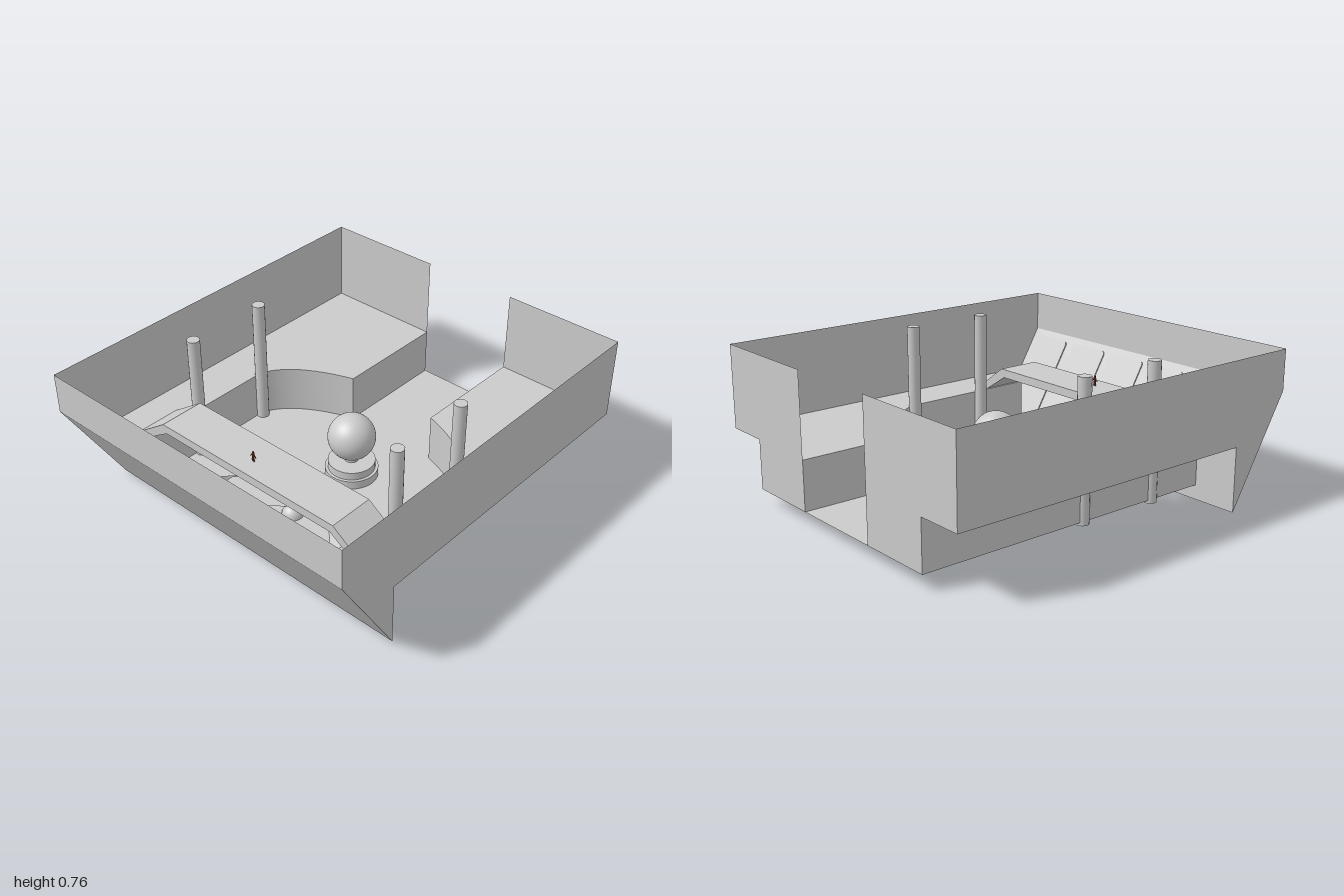
import * as THREE from 'three';

const mat = new THREE.MeshStandardMaterial({ color: 0xcccccc, side: THREE.DoubleSide });
const brown = new THREE.MeshStandardMaterial({ color: 0x7a3b22 });

export function createModel() {
  const model = new THREE.Group();

  const add = (name, geo, x = 0, y = 0, z = 0, material = mat, parent = model) => {
    const mesh = new THREE.Mesh(geo, material);
    mesh.name = name;
    mesh.position.set(x, y, z);
    parent.add(mesh);
    return mesh;
  };

  // Flat four-cornered sheet
  const quad = (name, a, b, c, d) => {
    const geo = new THREE.BufferGeometry();
    geo.setAttribute('position', new THREE.Float32BufferAttribute([a, b, c, a, c, d].flat(), 3));
    geo.computeVertexNormals();
    return add(name, geo);
  };

  // Sheet strung between two rows of points
  const strip = (name, lower, upper, smooth) => {
    const pos = [], idx = [], n = lower.length;
    lower.forEach((p, i) => pos.push(...p, ...upper[i]));
    for (let i = 0; i < n - 1; i++) idx.push(2 * i, 2 * i + 2, 2 * i + 1, 2 * i + 1, 2 * i + 2, 2 * i + 3);
    let geo = new THREE.BufferGeometry();
    geo.setAttribute('position', new THREE.Float32BufferAttribute(pos, 3));
    geo.setIndex(idx);
    if (!smooth) geo = geo.toNonIndexed();
    geo.computeVertexNormals();
    return add(name, geo);
  };

  // Horizontal sheet from an x-z outline, facing up
  const plan = (name, shape, y) => {
    const geo = new THREE.ShapeGeometry(shape, 16);
    geo.rotateX(Math.PI / 2);
    const index = geo.index.array;
    for (let i = 0; i < index.length; i += 3) [index[i], index[i + 1]] = [index[i + 1], index[i]];
    geo.computeVertexNormals();
    return add(name, geo, 0, y, 0);
  };
  const toShape = pts => new THREE.Shape(pts.map(p => new THREE.Vector2(...p)));

  const top = 0.76, deck = 0.33, low = 0.075, bowX = -0.67, W = 0.9, R = 0.66, gate = 0.26;

  // Curved side of the sunken floor
  const curve = new THREE.CubicBezierCurve(
    new THREE.Vector2(0.09, R), new THREE.Vector2(0.22, 0.62),
    new THREE.Vector2(0.32, 0.46), new THREE.Vector2(0.38, gate)).getPoints(14).map(p => [p.x, p.y]);
  const halfPlan = [[bowX, R], ...curve, [1, gate]];
  const mirrorZ = pts => pts.map(([x, z]) => [x, -z]).reverse();

  // Recessed bay outline for the opening below the floor
  const pitTop = [[bowX, 0.38], [-0.4, 0.38], [-0.22, 0.2]];
  const pitLow = [[bowX, 0.31], [-0.43, 0.31], [-0.22, 0.11]];
  const pitTopAll = [...pitTop, ...mirrorZ(pitTop)], pitLowAll = [...pitLow, ...mirrorZ(pitLow)];

  plan('sunkenFloor', toShape([[bowX, 0.38], ...halfPlan, ...mirrorZ(halfPlan), ...mirrorZ(pitTop), ...[...pitTop].reverse()]), low);
  plan('pitFloor', toShape(pitLowAll), 0.02);
  const at = (pts, y) => pts.map(([x, z]) => [x, y, z]);
  strip('pitWalls', at(pitLowAll, 0.02), at(pitTopAll, low), false);
  add('pitLip', new THREE.BoxGeometry(0.09, 0.045, 0.42), -0.175, 0.05, 0);

  for (const s of [1, -1]) {
    // Outer hull side with the raked bow end
    const side = new THREE.ShapeGeometry(toShape([[-1, 0.55], [bowX, 0], [bowX, deck], [1, deck], [1, top], [-1, top]]));
    add('sideWall', side, 0, 0, s * W);

    // Walkway around the sunken floor
    plan('walkway', toShape([[bowX, W], ...halfPlan, [1, W]].map(([x, z]) => [x, s * z])), deck);

    // Stern wall beside the gate, and the lower hull box
    quad('sternWall', [1, deck, s * gate], [1, deck, s * W], [1, top, s * W], [1, top, s * gate]);
    quad('lowerSternWall', [1, low, s * gate], [1, low, s * R], [1, deck, s * R], [1, deck, s * gate]);
    quad('lowerSideWall', [bowX, low, s * R], [1, low, s * R], [1, deck, s * R], [bowX, deck, s * R]);

    // Inner curved wall and straight gate passage
    const bend = curve.map(([x, z]) => [x, s * z]);
    strip('curvedWall', at(bend, low), at(bend, deck), true);
    quad('gatePassageWall', [0.38, low, s * gate], [1, low, s * gate], [1, deck, s * gate], [0.38, deck, s * gate]);

    // Bulkhead under the walkway
    quad('bowBulkhead', [bowX, 0, s * R], [bowX, 0, s * W], [bowX, deck, s * W], [bowX, deck, s * R]);

    // Tall posts
    for (const x of [-0.36, 0.085])
      add('post', new THREE.CylinderGeometry(0.033, 0.033, 0.7, 16), x, 0.41, s * 0.645);

    // Lamps beneath the hull
    add('hullLamp', new THREE.CylinderGeometry(0.055, 0.055, 0.02, 20), -0.54, 0.01, s * 0.18);
    add('hullLamp', new THREE.CylinderGeometry(0.055, 0.055, 0.02, 20), -0.52, 0.065, s * 0.5);
  }
  add('hullLamp', new THREE.CylinderGeometry(0.055, 0.055, 0.02, 20), -0.36, 0.01, 0);
  quad('bowSill', [bowX, 0, -R], [bowX, 0, R], [bowX, 0.02, R], [bowX, 0.02, -R]);
  for (const s of [1, -1])
    quad('bowSill', [bowX, 0.02, s * 0.38], [bowX, 0.02, s * R], [bowX, low, s * R], [bowX, low, s * 0.38]);

  // Bow: upright band above a raked window wall
  quad('bowUpperWall', [-1, 0.55, -W], [-1, 0.55, W], [-1, top, W], [-1, top, -W]);
  quad('bowWindowWall', [bowX, 0, -W], [bowX, 0, W], [-1, 0.55, W], [-1, 0.55, -W]);

  // Rounded window panes lying on the raked wall
  const pane = (w, h, r) => {
    const s = new THREE.Shape(), a = w / 2, b = h / 2;
    s.absarc(a - r, b - r, r, 0, Math.PI / 2);
    s.absarc(-a + r, b - r, r, Math.PI / 2, Math.PI);
    s.absarc(-a + r, -b + r, r, Math.PI, Math.PI * 1.5);
    s.absarc(a - r, -b + r, r, Math.PI * 1.5, Math.PI * 2);
    return new THREE.ExtrudeGeometry(s, { depth: 0.006, bevelEnabled: false, curveSegments: 5 });
  };
  const up = new THREE.Vector3(-0.33, 0.55, 0).normalize();
  const across = new THREE.Vector3(0, 0, -1);
  const basis = new THREE.Matrix4().makeBasis(across, up, new THREE.Vector3().crossVectors(across, up));
  for (const z of [-0.75, -0.445, -0.155, 0.135, 0.43, 0.74]) {
    const m = add('windowPane', pane(0.245, 0.57, 0.025), -0.835, 0.275, z);
    m.quaternion.setFromRotationMatrix(basis);
  }

  // Raised bridge with a ramp at each end
  const bridge = toShape([[-0.74, deck], [-0.55, 0.465], [0.55, 0.465], [0.74, deck],
    [0.67, deck], [0.53, 0.42], [-0.53, 0.42], [-0.67, deck]]);
  const bridgeGeo = new THREE.ExtrudeGeometry(bridge, { depth: 0.24, bevelEnabled: false });
  bridgeGeo.rotateY(-Math.PI / 2);
  add('bridge', bridgeGeo, -0.43, 0, 0);

  // Globe on a stepped round pedestal
  const globe = new THREE.Group();
  globe.name = 'globeStand';
  globe.position.set(0.025, 0, 0.045);
  model.add(globe);
  add('pedestalBase', new THREE.CylinderGeometry(0.135, 0.135, 0.045, 40), 0, 0.1, 0, mat, globe);
  add('pedestalStep', new THREE.CylinderGeometry(0.12, 0.12, 0.042, 40), 0, 0.144, 0, mat, globe);
  add('pedestalNeck', new THREE.CylinderGeometry(0.035, 0.035, 0.04, 20), 0, 0.18, 0, mat, globe);
  add('globe', new THREE.SphereGeometry(0.121, 40, 24), 0, 0.305, 0, mat, globe);

  // Small dome in the pit
  add('pitDome', new THREE.SphereGeometry(0.055, 24, 8, 0, Math.PI * 2, 0, Math.PI / 2), -0.36, 0.02, 0);

  // Tiny standing figure for scale
  const figure = new THREE.Group();
  figure.name = 'figure';
  figure.position.set(-0.58, 0.465, -0.025);
  model.add(figure);
  for (const s of [1, -1]) {
    add('leg', new THREE.CylinderGeometry(0.003, 0.003, 0.026, 6), 0, 0.013, s * 0.004, brown, figure);
    const arm = add('arm', new THREE.CylinderGeometry(0.002, 0.002, 0.024, 6), 0, 0.034, s * 0.011, brown, figure);
    arm.rotation.x = -s * 0.6;
  }
  add('torso', new THREE.CylinderGeometry(0.007, 0.005, 0.022, 8), 0, 0.036, 0, brown, figure);
  add('head', new THREE.SphereGeometry(0.005, 8, 6), 0, 0.052, 0, brown, figure);

  return model;
}
